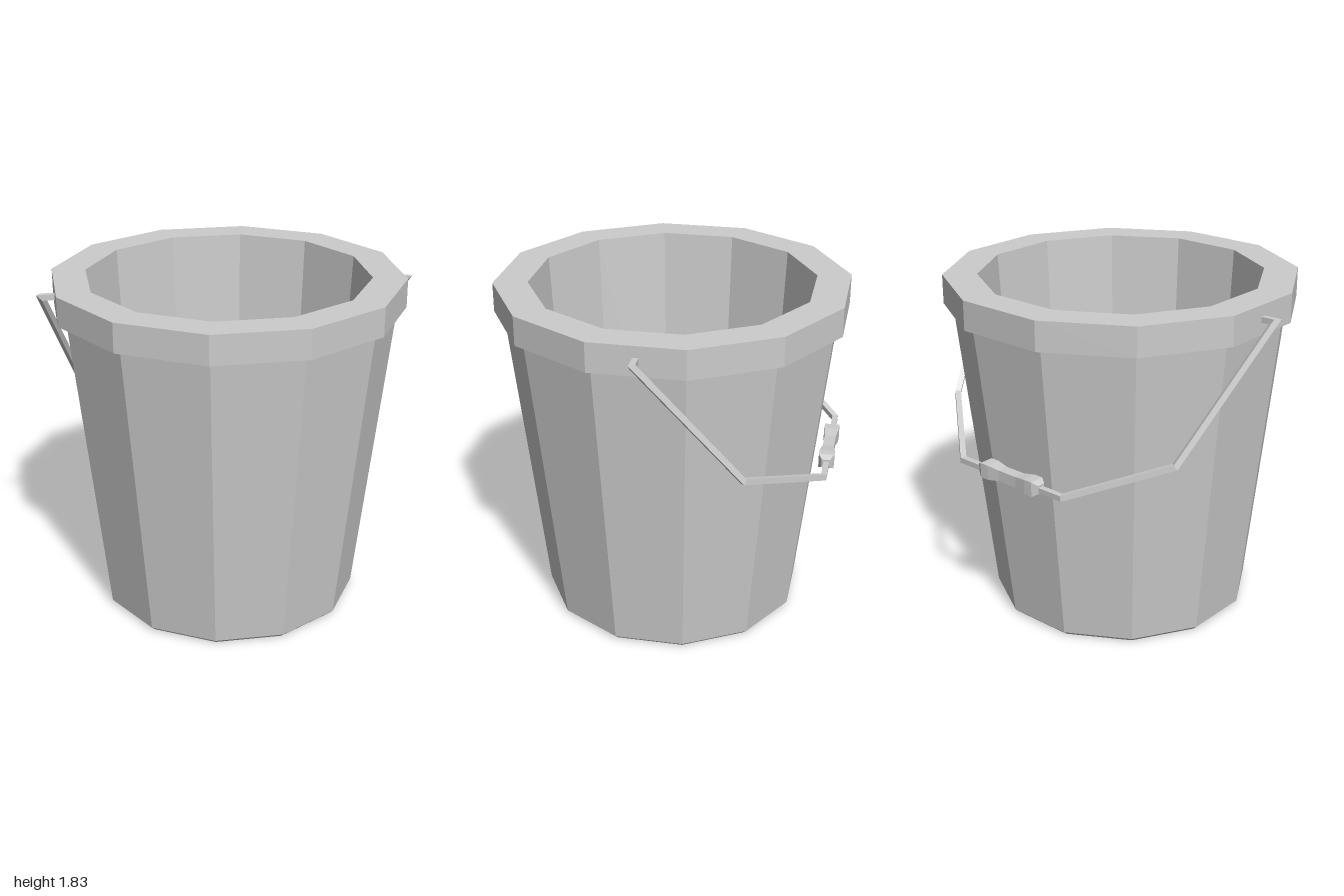
import * as THREE from 'three';

const material = new THREE.MeshStandardMaterial({ color: 0xcccccc, flatShading: true, side: THREE.DoubleSide });

// Faceted turned solid; profile gives [distance to the middle of a flat, height]
function faceted(name, profile, sides) {
  const k = 1 / Math.cos(Math.PI / sides);
  const points = profile.map(([r, y]) => new THREE.Vector2(r * k, y));
  const mesh = new THREE.Mesh(new THREE.LatheGeometry(points, sides, Math.PI / sides), material);
  mesh.name = name;
  return mesh;
}

// Square bar with mitred corners; the path starts along x and ends at x = 0
function mitredBar(path, half) {
  const dirs = path.slice(1).map((p, i) => p.clone().sub(path[i]).normalize());
  let ring = [[1, 1], [-1, 1], [-1, -1], [1, -1]].map(
    ([a, b]) => new THREE.Vector3(path[0].x, path[0].y + a * half, path[0].z + b * half));
  const rings = [ring];
  for (let i = 1; i < path.length; i++) {
    const d = dirs[i - 1];
    const n = d.clone().add(dirs[i] ?? d);
    ring = ring.map((p) => p.clone().addScaledVector(d, path[i].clone().sub(p).dot(n) / d.dot(n)));
    rings.push(ring);
  }
  const index = [0, 2, 1, 0, 3, 2];
  for (let i = 0; i < rings.length - 1; i++) {
    for (let j = 0; j < 4; j++) {
      const a = i * 4 + j, b = i * 4 + (j + 1) % 4;
      index.push(a, b, b + 4, a, b + 4, a + 4);
    }
  }
  const geometry = new THREE.BufferGeometry().setFromPoints(rings.flat());
  geometry.setIndex(index);
  geometry.computeVertexNormals();
  return geometry;
}

export function createModel() {
  const group = new THREE.Group();
  group.name = 'bucket';

  // Body with bevelled foot, thick rim and hollow inside
  group.add(faceted('body', [
    [0, 0], [0.665, 0], [0.685, 0.02], [0.86, 1.675], [0.905, 1.675],
    [0.905, 1.83], [0.73, 1.83], [0.64, 0.08], [0, 0.08],
  ], 12));

  // Wire handle hanging at the back, one half per side
  for (const side of [1, -1]) {
    const path = [
      [0.87, 1.755, 0], [0.973, 1.755, 0], [0.77, 1.1, -0.5], [0.35, 0.935, -0.86], [0, 0.935, -0.86],
    ].map(([x, y, z]) => new THREE.Vector3(side * x, y, z));
    const bar = new THREE.Mesh(mitredBar(path, 0.015), material);
    bar.name = side > 0 ? 'leftHandleBar' : 'rightHandleBar';
    group.add(bar);
  }

  // Square grip with a narrower waist
  const half = [[0.022, 0.21], [0.04, 0.18], [0.04, 0.13], [0.03, 0.06]];
  const grip = faceted('grip', [
    [0, -0.21], ...half.map(([r, y]) => [r, -y]), ...half.slice().reverse(), [0, 0.21],
  ], 4);
  grip.rotation.z = Math.PI / 2;
  grip.position.set(0, 0.938, -0.857);
  group.add(grip);

  return group;
}
